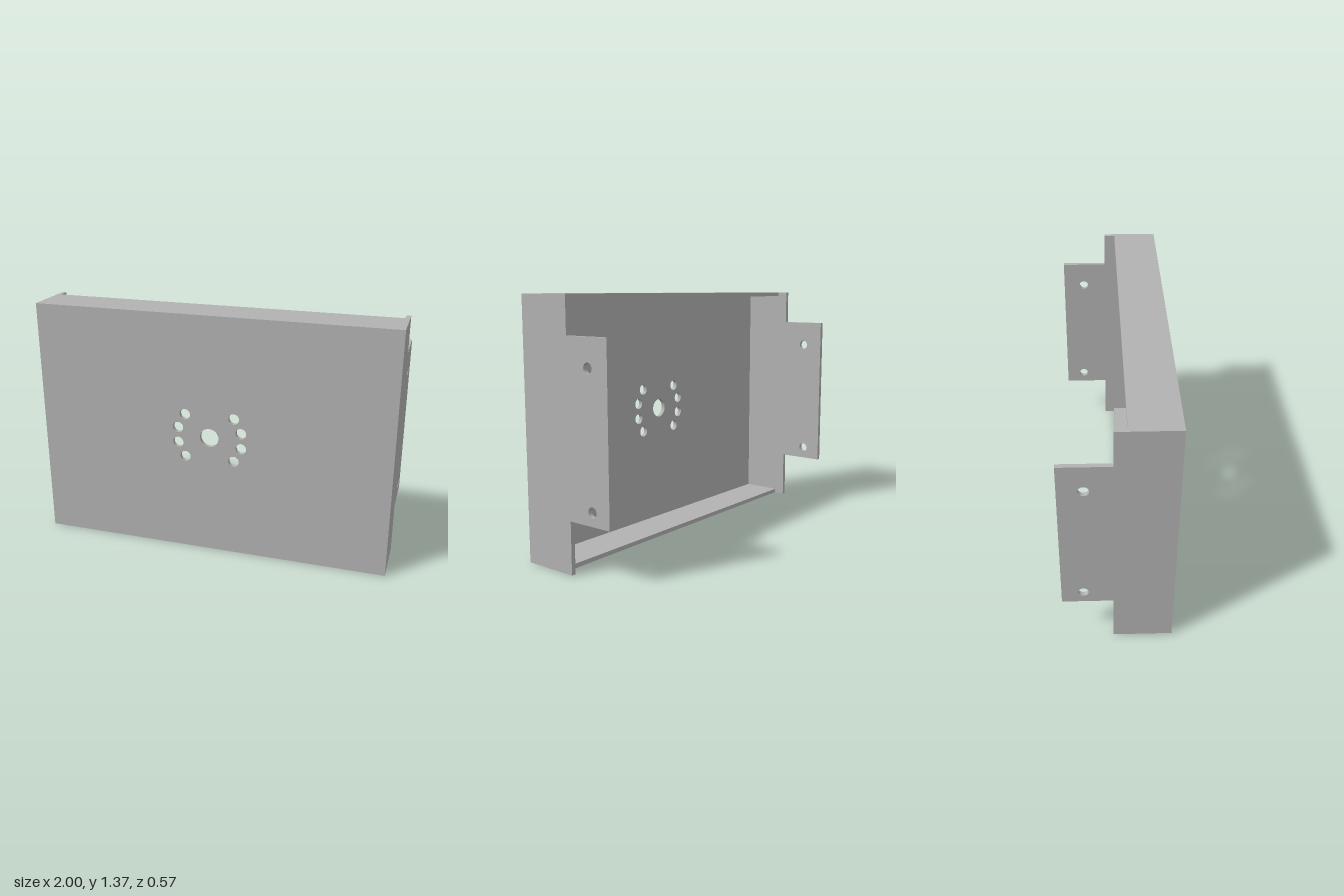
import * as THREE from 'three';

const W = 2, H = 1.37, T = 0.024, FRONT = 0.285;

function addHole(shape, x, y, r) {
  const hole = new THREE.Path();
  hole.absarc(x, y, r, 0, Math.PI * 2, true);
  shape.holes.push(hole);
}

function plate(shape) {
  return new THREE.ExtrudeGeometry(shape, { depth: T, bevelEnabled: false, curveSegments: 32 });
}

export function createModel() {
  const group = new THREE.Group();
  const steel = new THREE.MeshStandardMaterial({ color: 0xb2b2b2 });
  steel.name = 'grey steel';

  const add = (name, geometry) => {
    const mesh = new THREE.Mesh(geometry, steel);
    mesh.name = name;
    group.add(mesh);
    return mesh;
  };

  // Front panel with a centre hole and a ring of smaller holes
  const hw = W / 2 - T;
  const front = new THREE.Shape([[-hw, 0], [hw, 0], [hw, H], [-hw, H]].map(p => new THREE.Vector2(...p)));
  addHole(front, 0, 0.688, 0.053);
  for (const s of [-1, 1]) {
    for (const [x, dy] of [[0.139, 0.124], [0.18, 0.044]]) {
      addHole(front, s * x, 0.688 + dy, 0.03);
      addHole(front, s * x, 0.688 - dy, 0.03);
    }
  }
  add('frontPanel', plate(front)).position.z = FRONT - T;

  // Side walls with a rear mounting tab; profile runs from front to back
  const profile = [
    [-FRONT, 0], [0.023, 0], [0.023, 0.275], [FRONT, 0.275],
    [FRONT, 1.175], [0.023, 1.175], [0.023, H], [-FRONT, H],
  ];
  const side = new THREE.Shape(profile.map(p => new THREE.Vector2(...p)));
  addHole(side, 0.16, 1.03, 0.027);
  addHole(side, 0.174, 0.345, 0.027);
  const wall = plate(side).rotateY(Math.PI / 2);
  add('leftWall', wall).position.x = W / 2 - T;
  add('rightWall', wall).position.x = -W / 2;

  // Top and bottom flanges
  const back = 0.038, depth = FRONT - T - back;
  const flange = new THREE.BoxGeometry(hw * 2, T, depth);
  add('topFlange', flange).position.set(0, H - T / 2, back + depth / 2);
  add('bottomFlange', flange).position.set(0, T / 2, back + depth / 2);

  return group;
}
